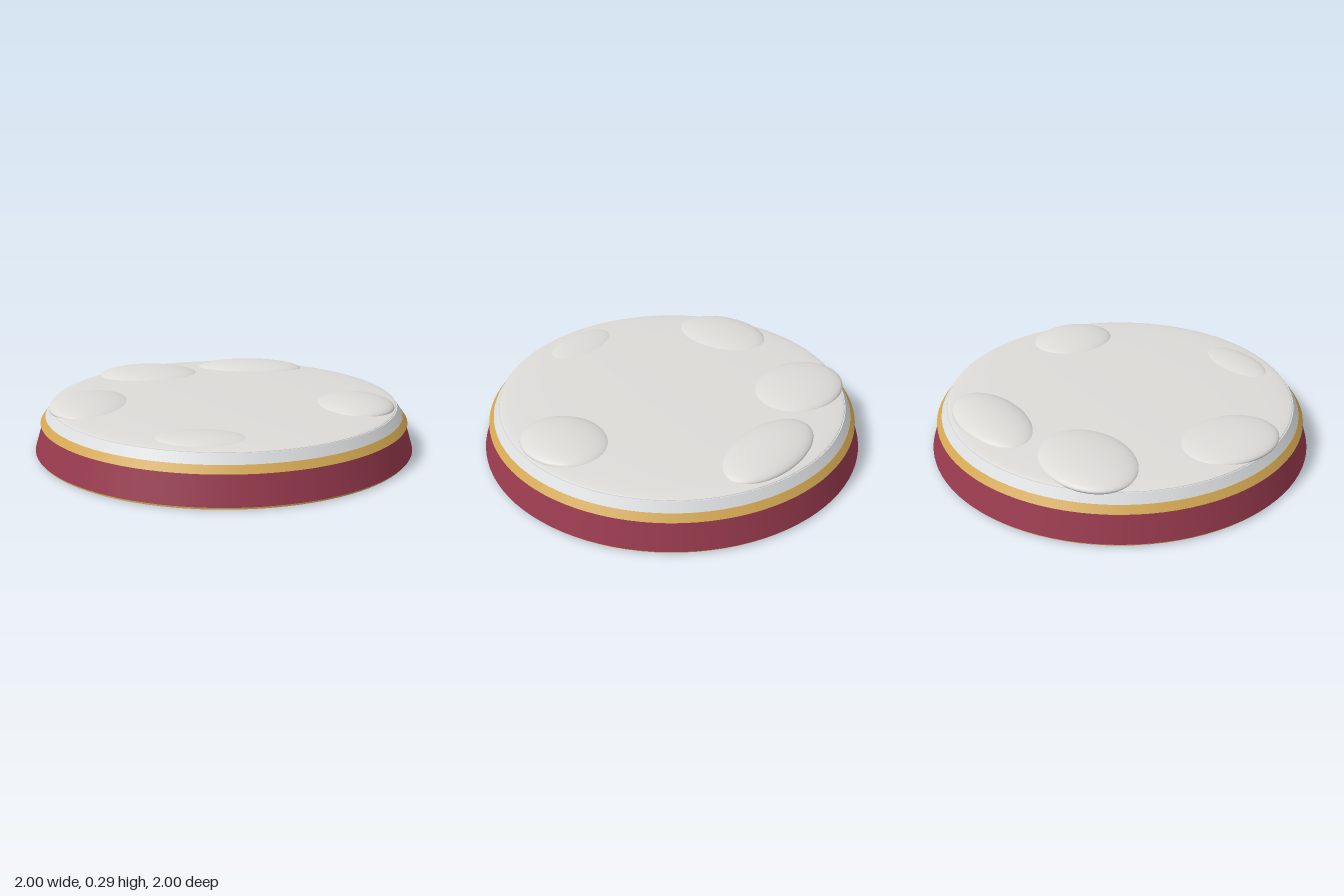
import * as THREE from 'three';

const SEG = 96;
const mat = (name, color) => {
  const m = new THREE.MeshStandardMaterial({ color });
  m.name = name;
  return m;
};

export function createModel() {
  const model = new THREE.Group();
  model.name = 'roundSnowBase';
  const red = mat('burgundy', 0x983a4e);
  const gold = mat('gold', 0xd2a752);
  const white = mat('bandWhite', 0xdcddde);
  const snow = mat('snow', 0xdddbd8);

  const add = (name, geometry, material, x = 0, y = 0, z = 0) => {
    const mesh = new THREE.Mesh(geometry, material);
    mesh.name = name;
    mesh.position.set(x, y, z);
    model.add(mesh);
    return mesh;
  };

  // Stacked tapering rings: name, bottom radius, top radius, bottom y, top y
  const rings = [
    ['footPlate', 0.99, 0.99, 0, 0.015, gold],
    ['plinth', 1.0, 0.955, 0.012, 0.158, red],
    ['goldTrim', 0.968, 0.942, 0.155, 0.19, gold],
    ['whiteCollar', 0.941, 0.912, 0.19, 0.235, white],
  ];
  for (const [name, r0, r1, y0, y1, material] of rings) {
    add(name, new THREE.CylinderGeometry(r1, r0, y1 - y0, SEG), material, 0, (y0 + y1) / 2, 0);
  }

  // Upper half of a flattened sphere
  const halfDome = new THREE.SphereGeometry(1, SEG, 24, 0, Math.PI * 2, 0, Math.PI / 2);
  add('snowGround', halfDome, snow, 0, 0.235, 0).scale.set(0.907, 0.03, 0.907);

  // Snow mounds: x, z, radius x, radius z, centre y, height
  const mounds = [
    [-0.455, -0.495, 0.29, 0.222, 0.242, 0.048],
    [0.125, -0.693, 0.315, 0.17, 0.242, 0.048],
    [-0.687, 0.17, 0.21, 0.275, 0.24, 0.042],
    [0.68, 0.13, 0.205, 0.238, 0.242, 0.048],
    [-0.08, 0.725, 0.23, 0.13, 0.239, 0.029],
  ];
  const moundShape = new THREE.SphereGeometry(1, 48, 24);
  mounds.forEach(([x, z, rx, rz, y, h], i) => {
    add('snowMound' + (i + 1), moundShape, snow, x, y, z).scale.set(rx, h, rz);
  });

  return model;
}
